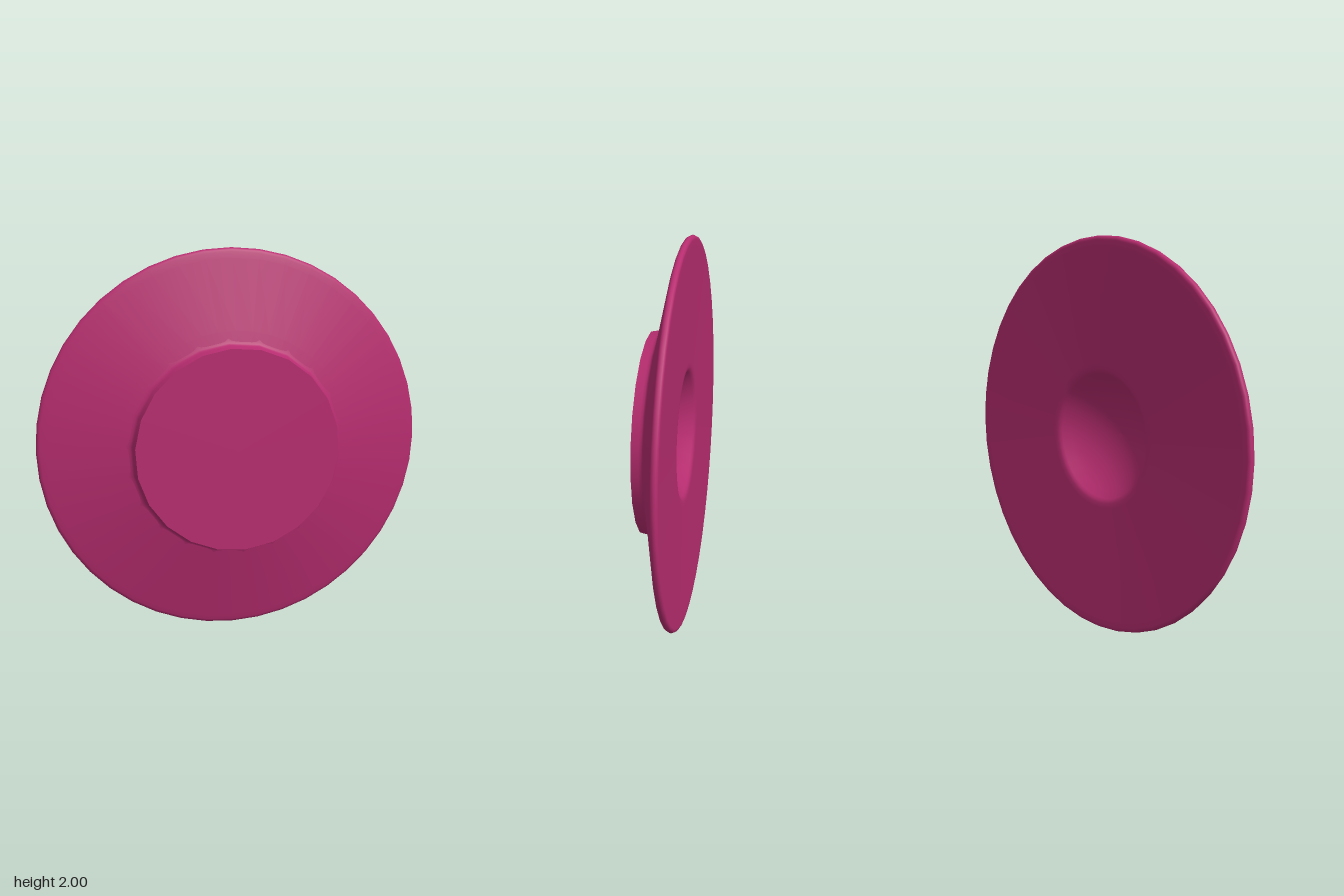
import * as THREE from 'three';

const CENTRE_Y = 1;
const FOOT_SIDES = 22;
const FOOT_TURN = Math.PI / 44;

// Profile points are [radius, z]; the lathe axis is turned to face +z.
function turned(profile, sides, phase = 0) {
  const points = profile.map(([r, z]) => new THREE.Vector2(r, z));
  return new THREE.LatheGeometry(points, sides, phase).rotateX(Math.PI / 2);
}

export function createModel() {
  const group = new THREE.Group();
  const material = new THREE.MeshStandardMaterial({ color: 0xb82d70 });

  const add = (name, geometry, z = 0) => {
    const mesh = new THREE.Mesh(geometry, material);
    mesh.name = name;
    mesh.position.set(0, CENTRE_Y, z);
    group.add(mesh);
  };

  // Dish: round hollow in the back, shallow back face, rounded rim, sloping front
  const dish = [];
  const hollowRadius = 0.32, hollowDepth = 0.135, hollowFloor = 0.065;
  const sphere = (hollowRadius ** 2 + hollowDepth ** 2) / (2 * hollowDepth);
  for (let i = 0; i <= 10; i++) {
    const r = (hollowRadius * i) / 10;
    dish.push([r, hollowFloor - sphere + Math.sqrt(sphere ** 2 - r ** 2)]);
  }
  dish.push(
    [0.33, -0.079], [0.345, -0.084], [0.37, -0.086],
    [0.95, -0.104], [0.98, -0.105], [0.99, -0.103], [0.997, -0.097],
    [1.0, -0.088], [0.997, -0.078], [0.99, -0.071], [0.98, -0.067],
    [0.95, -0.059], [0.6, 0.027], [0.5, 0.051],
  );
  add('dish', turned(dish, 44));

  // Foot wall with a small fillet where it meets the slope
  const footWall = [[0.575, 0.032], [0.555, 0.038], [0.542, 0.044], [0.534, 0.053], [0.53, 0.066], [0.523, 0.105]];
  add('footWall', turned(footWall, FOOT_SIDES, FOOT_TURN));

  // Flat face closing the foot
  add('footFace', new THREE.CircleGeometry(0.523, FOOT_SIDES, FOOT_TURN - Math.PI / 2), 0.105);

  return group;
}
